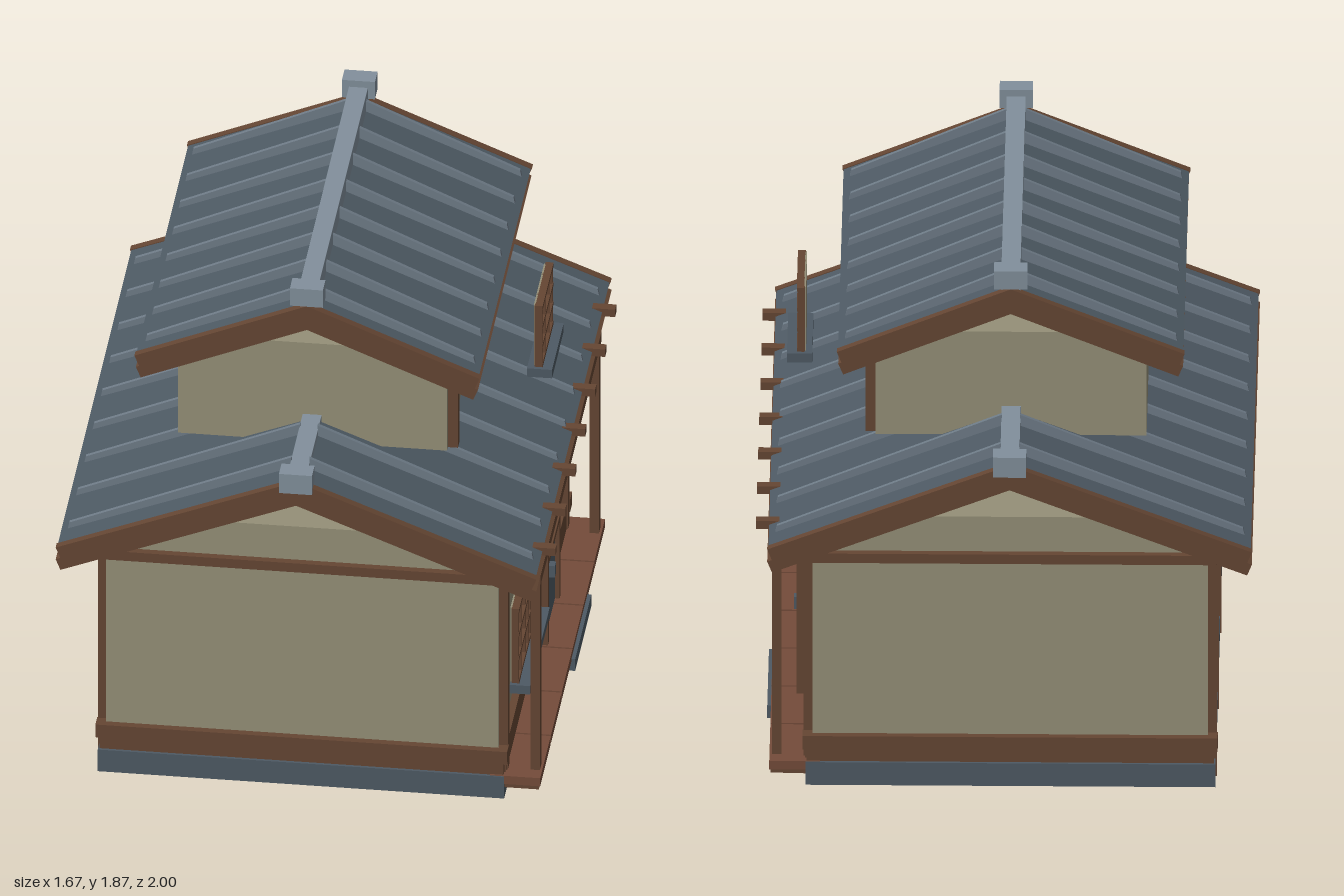
import * as THREE from 'three';

const mat = (name, color) => {
  const m = new THREE.MeshStandardMaterial({ color });
  m.name = name;
  return m;
};

export function createModel() {
  const model = new THREE.Group();
  model.name = 'house';
  const timber = mat('timber', 0x654633);
  const plank = mat('plank', 0x744c3a);
  const plaster = mat('plaster', 0x959078);
  const slate = mat('slate', 0x4e5a64);
  const seam = mat('seam', 0x6f7c88);
  const ridgeGrey = mat('ridge grey', 0x82909c);
  const CX = -0.02; // the house is centred slightly left of the origin

  const add = (name, geometry, material, parent = model) => {
    const mesh = new THREE.Mesh(geometry, material);
    mesh.name = name;
    parent.add(mesh);
    return mesh;
  };
  // Box given by its limits on each axis
  const box = (name, material, [x0, x1], [y0, y1], [z0, z1], parent = model) => {
    const m = add(name, new THREE.BoxGeometry(x1 - x0, y1 - y0, z1 - z0), material, parent);
    m.position.set((x0 + x1) / 2, (y0 + y1) / 2, (z0 + z1) / 2);
    return m;
  };
  const group = (name) => {
    const g = new THREE.Group();
    g.name = name;
    model.add(g);
    return g;
  };
  const extrude = (points, z0, z1) => {
    const shape = new THREE.Shape(points.map(([x, y]) => new THREE.Vector2(x, y)));
    const g = new THREE.ExtrudeGeometry(shape, { depth: z1 - z0, bevelEnabled: false });
    return g.translate(CX, 0, z0);
  };
  // Bent roof layer: peak height, vertical thickness, half width, slope
  const chevron = (peak, t, w, s, z0, z1) => {
    const inner = w - (t * s) / (1 + s * s); // eaves are cut square to the slope
    return extrude([
      [0, peak], [-w, peak - w * s], [-inner, peak - t - inner * s],
      [0, peak - t], [inner, peak - t - inner * s], [w, peak - w * s],
    ], z0, z1);
  };

  function roof(name, { under, s, w, wUnder, len, ribs, ribGap, ribH, ridgeY, blockY, blockZ }) {
    const g = group(name);
    const mid = under + 0.047, top = under + 0.09;
    add('roofBoards', chevron(mid, 0.047, wUnder, s, -len, len), timber, g);
    add('roofSlab', chevron(top, 0.043, w - 0.004, s, -len + 0.028, len - 0.028), slate, g);
    for (const e of [-1, 1]) {
      const a = e * len, b = e * (len - 0.028);
      add('bargeboard', chevron(top + 0.003, 0.046, w, s, Math.min(a, b), Math.max(a, b)), timber, g);
      const z = e * blockZ;
      box('ridgeBlock', ridgeGrey, [CX - 0.056, CX + 0.056], blockY, [z - 0.034, z + 0.034], g);
    }
    box('ridgeBar', ridgeGrey, [CX - 0.032, CX + 0.032], ridgeY, [-blockZ, blockZ], g);
    // standing seams running down both slopes
    const d0 = 0.03, d1 = w - 0.025;
    for (let i = 0; i < ribs; i++) {
      const z = (i - (ribs - 1) / 2) * ribGap;
      for (const e of [-1, 1]) {
        const p = [[d0, top - d0 * s - 0.005], [d1, top - d1 * s - 0.005],
          [d1 - 0.006, top - d1 * s + ribH * 0.6], [d0, top - d0 * s + ribH]];
        add('roofSeam', extrude(p.map(([x, y]) => [x * e, y]), z - 0.007, z + 0.007), seam, g);
      }
    }
  }

  // Foundation and ground floor walls
  box('foundation', slate, [-0.71, 0.668], [0, 0.085], [-0.85, 0.85]);
  box('lowerWalls', plaster, [-0.685, 0.645], [0.08, 1.0], [-0.825, 0.825]);

  // Wall posts along both long sides
  for (const z of [-0.785, -0.285, 0.285, 0.785]) {
    box('wallPost', timber, [-0.715, -0.684], [0.02, 0.915], [z - 0.02, z + 0.02]);
    box('wallPost', timber, [0.644, 0.675], [0.02, 0.915], [z - 0.02, z + 0.02]);
  }

  // Beams across the front and back
  for (const e of [-1, 1]) {
    const span = (a, b) => (e > 0 ? [a, b] : [-b, -a]);
    box('sillBeam', timber, [-0.705, 0.665], [0.085, 0.135], span(0.8, 0.84));
    box('baseBeam', timber, [-0.718, 0.678], [0.133, 0.183], span(0.8, 0.85));
    box('upperBeam', timber, [-0.715, 0.675], [0.835, 0.87], span(0.81, 0.85));
  }
  box('sideBaseBeam', timber, [0.64, 0.67], [0.085, 0.178], [-0.82, 0.82]);

  // Veranda: planks on a bearer, posts and a head beam
  box('verandaBearer', timber, [0.63, 0.785], [0.042, 0.072], [-0.845, 0.845]);
  for (let i = 0; i < 6; i++) {
    const z = -0.85 + (i * 1.7) / 6;
    box('verandaPlank', plank, [0.62, 0.79], [0.055, 0.087], [z + 0.004, z + 1.7 / 6 - 0.004]);
  }
  for (const z of [-0.772, 0.772]) {
    box('verandaPost', timber, [0.75, 0.782], [0.08, 0.85], [z - 0.022, z + 0.022]);
  }
  box('verandaBeam', timber, [0.747, 0.785], [0.818, 0.855], [-0.795, 0.795]);
  box('doorStep', slate, [0.66, 0.803], [0.02, 0.066], [-0.39, 0.033]);

  // Door with frame, middle rail and pull
  const door = group('door');
  box('doorPanel', slate, [0.64, 0.69], [0.09, 0.65], [-0.33, -0.02], door);
  for (const z of [-0.328, -0.022]) {
    box('doorJamb', timber, [0.64, 0.705], [0.085, 0.66], [z - 0.012, z + 0.012], door);
  }
  for (const y of [0.4, 0.65]) {
    box('doorRail', timber, [0.64, 0.705], [y - 0.011, y + 0.011], [-0.335, -0.015], door);
  }
  box('doorPull', slate, [0.685, 0.717], [0.3, 0.345], [-0.132, -0.1], door);

  // Lattice windows made of square panes
  function latticeWindow(name, z0, z1, y0, y1, panes, sillX) {
    const g = group(name);
    box('pane', plaster, [0.676, 0.684], [y0, y1], [z0, z1], g);
    const step = (z1 - z0) / panes;
    const bar = (z, r) => box('latticeBar', timber, [0.68, 0.705], [y0, y1], [z - r, z + r], g);
    for (let i = 0; i < panes; i++) {
      const z = z0 + i * step;
      bar(z, 0.008);
      bar(z + step * 0.26, 0.006);
      bar(z + step * 0.74, 0.006);
    }
    bar(z1, 0.008);
    for (let i = 0; i < 4; i++) {
      const y = y0 + 0.006 + ((y1 - y0 - 0.012) * i) / 3;
      box('latticeRail', timber, [0.682, 0.707], [y - 0.007, y + 0.007], [z0 - 0.008, z1 + 0.008], g);
    }
    box('windowSill', slate, sillX, [y0 - 0.036, y0 - 0.003], [z0 - 0.018, z1 + 0.018], g);
  }
  latticeWindow('lowerWindow', 0.268, 0.747, 0.4, 0.69, 2, [0.676, 0.745]);
  latticeWindow('upperWindow', -0.135, 0.135, 1.275, 1.513, 1, [0.655, 0.74]);

  // Lower roof with rafter ends over the veranda
  roof('lowerRoof', {
    under: 1.18, s: 0.394, w: 0.815, wUnder: 0.815, len: 0.985, ribs: 9, ribGap: 0.2155,
    ribH: 0.04, ridgeY: [1.23, 1.285], blockY: [1.235, 1.31], blockZ: 0.966,
  });
  for (let i = -3; i <= 3; i++) {
    box('rafterEnd', timber, [0.74, 0.835], [0.935, 0.964], [i * 0.26 - 0.017, i * 0.26 + 0.017]);
  }

  // Upper storey
  box('upperWalls', plaster, [-0.475, 0.437], [1.178, 1.565], [-0.563, 0.563]);
  for (const z of [-0.512, 0.512]) {
    box('upperPost', timber, [0.436, 0.47], [1.172, 1.515], [z - 0.018, z + 0.018]);
  }
  roof('upperRoof', {
    under: 1.70, s: 0.41, w: 0.585, wUnder: 0.58, len: 0.7, ribs: 8, ribGap: 0.174,
    ribH: 0.04, ridgeY: [1.77, 1.843], blockY: [1.8, 1.868], blockZ: 0.68,
  });

  return model;
}
